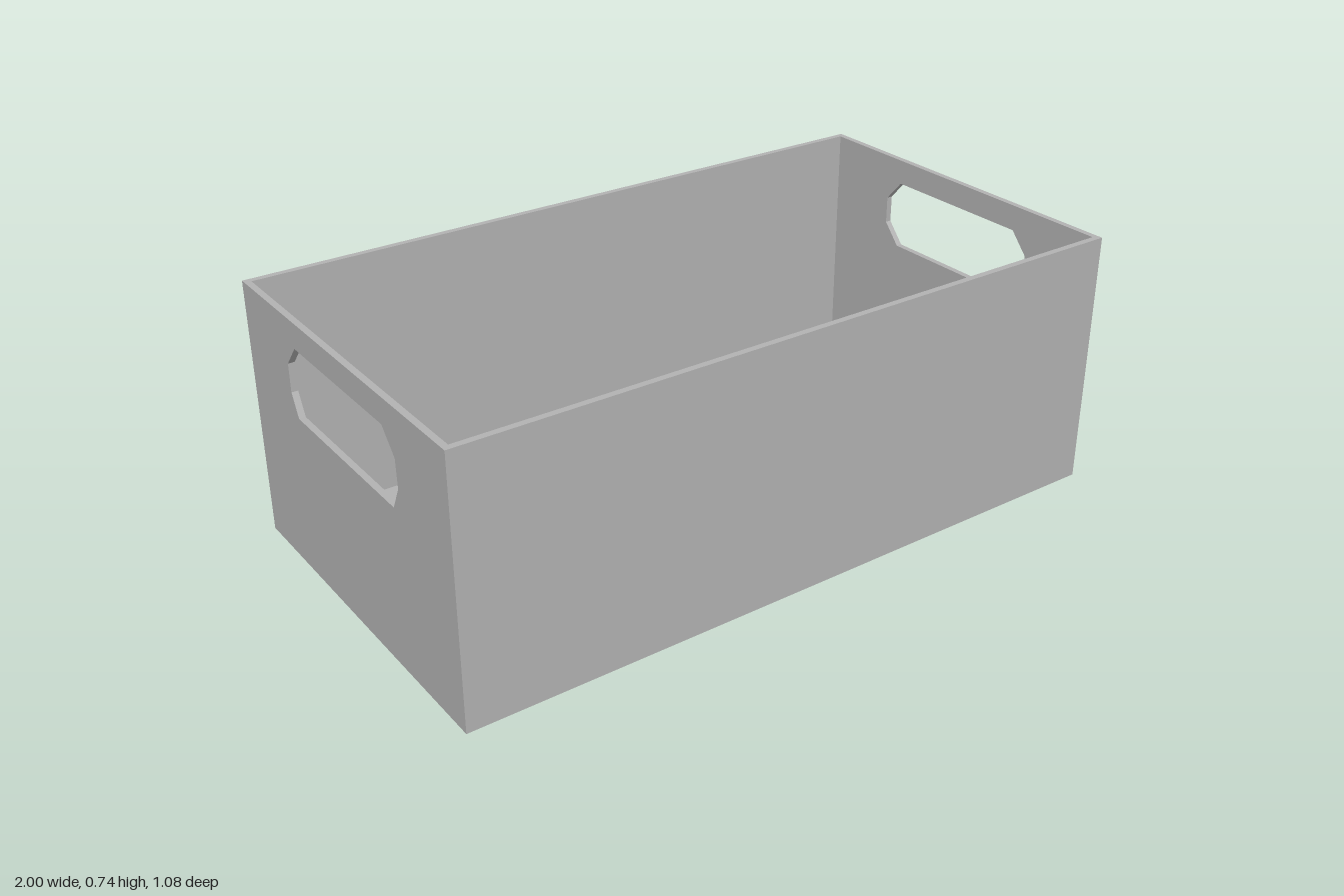
import * as THREE from 'three';

const W = 2, H = 0.74, D = 1.08, T = 0.018;

export function createModel() {
  const crate = new THREE.Group();
  crate.name = 'crate';
  const grey = new THREE.MeshStandardMaterial({ color: 0xb2b2b2 });
  grey.name = 'grey';

  function add(name, geometry, x, y, z) {
    const mesh = new THREE.Mesh(geometry, grey);
    mesh.name = name;
    mesh.position.set(x, y, z);
    crate.add(mesh);
  }

  // Floor and long walls fit between the end panels
  const inner = W - 2 * T;
  add('floor', new THREE.BoxGeometry(inner, T, D - 2 * T), 0, T / 2, 0);
  for (const side of [1, -1]) {
    add(side > 0 ? 'frontWall' : 'backWall',
      new THREE.BoxGeometry(inner, H, T), 0, H / 2, side * (D - T) / 2);
  }

  // End panel with a chamfered handle hole, drawn as (-z, y) and extruded along x
  function endPanel(backCorner) {
    const shape = new THREE.Shape([
      [-D / 2, 0], [D / 2, 0], [D / 2, H], [-D / 2, H],
    ].map(([u, v]) => new THREE.Vector2(u, v)));
    shape.holes.push(new THREE.Path([
      [-0.235, 0.667], [0.235, 0.667], [0.29, 0.605], [0.29, 0.525],
      [backCorner, 0.463], [-0.26, 0.463], [-0.293, 0.527], [-0.29, 0.605],
    ].map(([u, v]) => new THREE.Vector2(u, v))));
    return new THREE.ExtrudeGeometry(shape, { depth: T, bevelEnabled: false })
      .rotateY(Math.PI / 2);
  }
  add('leftEndPanel', endPanel(0.235), W / 2 - T, 0, 0);
  add('rightEndPanel', endPanel(0.26), -W / 2, 0, 0);

  return crate;
}
